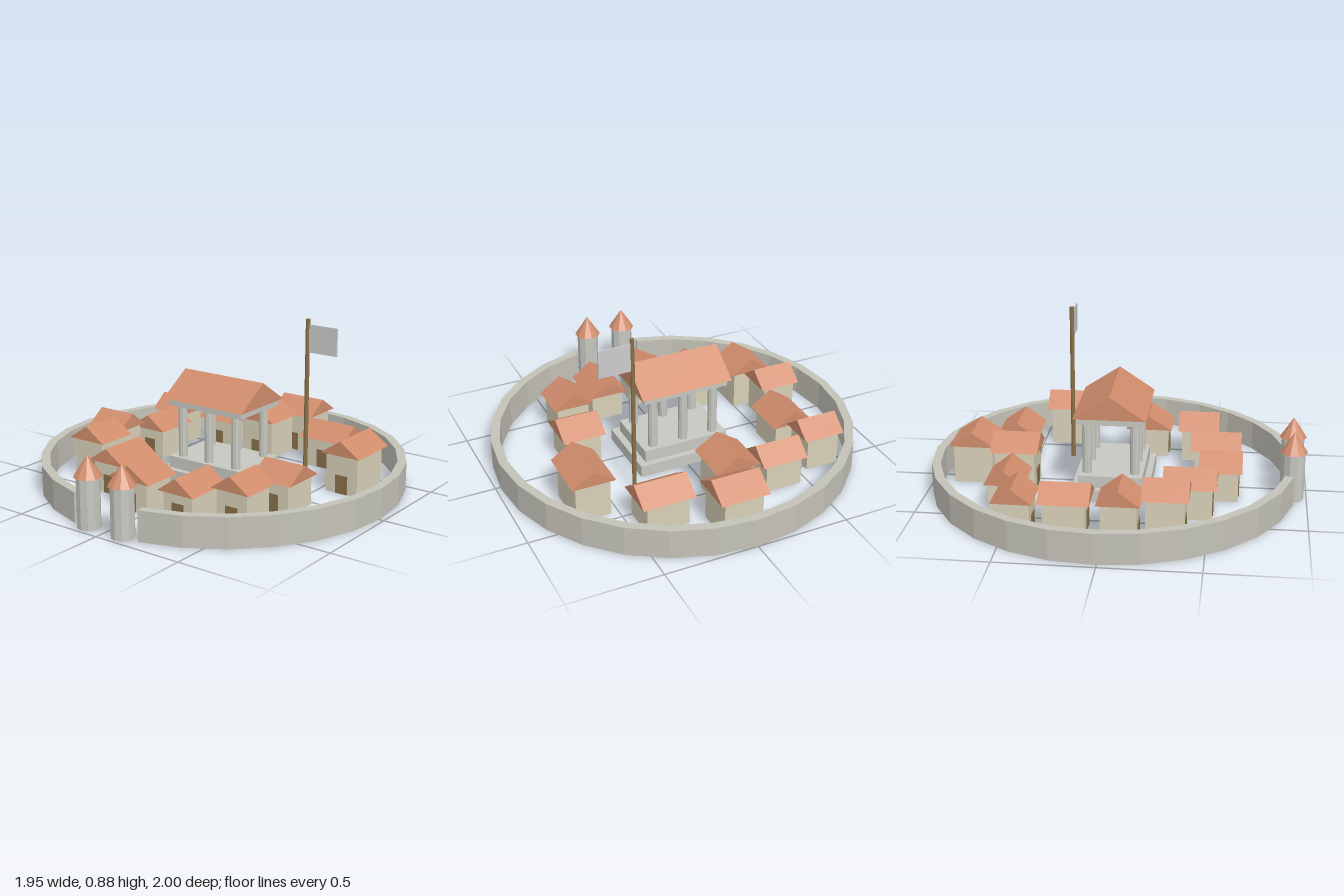
import * as THREE from 'three';

const mat = (color) => new THREE.MeshStandardMaterial({ color, flatShading: true });
const stone = mat(0xc4c2b8);
const marble = mat(0xc8c8c2);
const plaster = mat(0xd8d0b8);
const tile = mat(0xd08c6c);
const wood = mat(0x8a7048);
const cloth = mat(0xcccccc);

function add(parent, name, geometry, material, x, y, z) {
  const mesh = new THREE.Mesh(geometry, material);
  mesh.name = name;
  mesh.position.set(x, y, z);
  parent.add(mesh);
  return mesh;
}

// Box and cylinder placed by the centre of their base
function box(parent, name, material, w, h, d, x, y, z) {
  return add(parent, name, new THREE.BoxGeometry(w, h, d), material, x, y + h / 2, z);
}
function post(parent, name, material, r, h, sides, x, y, z) {
  return add(parent, name, new THREE.CylinderGeometry(r, r, h, sides), material, x, y + h / 2, z);
}

// Triangular prism roof; the ridge runs along x or z
function gableRoof(parent, name, w, h, d, ridge, x, y, z) {
  const [span, length] = ridge === 'x' ? [d, w] : [w, d];
  const shape = new THREE.Shape();
  shape.moveTo(-span / 2, 0);
  shape.lineTo(span / 2, 0);
  shape.lineTo(0, h);
  shape.closePath();
  const geometry = new THREE.ExtrudeGeometry(shape, { depth: length, bevelEnabled: false });
  geometry.translate(0, 0, -length / 2);
  if (ridge === 'x') geometry.rotateY(Math.PI / 2);
  return add(parent, name, geometry, tile, x, y, z);
}

// Ring wall, open at the front gate
function ringWall(parent) {
  const outer = 0.975, inner = 0.928, segments = 26, half = THREE.MathUtils.degToRad(168);
  const points = [];
  for (const [radius, dir] of [[outer, 1], [inner, -1]]) {
    for (let i = 0; i <= segments; i++) {
      const a = dir * half * (2 * i / segments - 1);
      points.push(new THREE.Vector2(radius * Math.sin(a), radius * Math.cos(a)));
    }
  }
  const geometry = new THREE.ExtrudeGeometry(new THREE.Shape(points), { depth: 0.16, bevelEnabled: false });
  geometry.rotateX(-Math.PI / 2);
  add(parent, 'cityWall', geometry, stone, 0, 0, -0.024);
}

function gateTower(parent, x) {
  const tower = new THREE.Group();
  tower.name = 'gateTower';
  post(tower, 'towerShaft', marble, 0.06, 0.265, 10, 0, 0, 0);
  add(tower, 'towerRoof', new THREE.ConeGeometry(0.072, 0.11, 10), tile, 0, 0.317, 0);
  tower.position.set(x, 0, 0.925);
  parent.add(tower);
}

function temple(parent) {
  const group = new THREE.Group();
  group.name = 'temple';
  box(group, 'lowerStep', marble, 0.55, 0.065, 0.405, 0, 0, 0);
  box(group, 'upperStep', marble, 0.475, 0.065, 0.34, 0, 0.065, 0);
  for (const x of [-0.174, 0, 0.174]) {
    for (const z of [-0.126, 0.126]) post(group, 'column', marble, 0.025, 0.29, 10, x, 0.13, z);
  }
  box(group, 'entablature', marble, 0.475, 0.036, 0.34, 0, 0.415, 0);
  gableRoof(group, 'templeRoof', 0.51, 0.126, 0.38, 'x', 0, 0.45, 0);
  group.position.set(-0.002, 0, -0.024);
  parent.add(group);
}

// Walls, roof and a door facing the front
function house(parent, [x0, x1, z0, z1, ridge, eave]) {
  const w = x1 - x0, d = z1 - z0;
  const group = new THREE.Group();
  group.name = 'house';
  const bodyDepth = d * 0.83;
  box(group, 'houseWalls', plaster, w * 0.8, eave, bodyDepth, 0, 0, 0);
  gableRoof(group, 'houseRoof', w, 0.08, d, ridge, 0, eave, 0);
  box(group, 'door', wood, 0.07, 0.1, 0.01, 0, 0, bodyDepth / 2);
  group.position.set((x0 + x1) / 2, 0, (z0 + z1) / 2);
  parent.add(group);
}

// Roof outline x0, x1, z0, z1, ridge axis, eave height
const HOUSES = [
  [-0.115, 0.15, -0.905, -0.655, 'x', 0.213],
  [0.19, 0.475, -0.71, -0.475, 'x', 0.16],
  [-0.482, -0.228, -0.64, -0.433, 'x', 0.16],
  [-0.753, -0.525, -0.55, -0.343, 'x', 0.185],
  [-0.78, -0.553, 0.03 - 0.002, 0.187, 'x', 0.21],
  [0.375, 0.612, 0, 0.256, 'x', 0.163],
  [-0.192, 0.056, -0.667, -0.412, 'z', 0.218],
  [0.517, 0.75, -0.476, -0.174, 'z', 0.213],
  [-0.69, -0.458, -0.333, -0.074, 'z', 0.16],
  [-0.71, -0.474, 0.182, 0.414, 'z', 0.213],
  [-0.458, -0.225, 0.265, 0.54, 'z', 0.17],
  [-0.22, 0.045, 0.435, 0.662, 'z', 0.165],
  [0.093, 0.315, 0.376, 0.651, 'z', 0.155],
  [0.326, 0.553, 0.297, 0.524, 'z', 0.181],
];
HOUSES[4][2] = -0.03;

export function createModel() {
  const city = new THREE.Group();
  city.name = 'walledCity';
  ringWall(city);
  for (const x of [-0.11, 0.107]) gateTower(city, x);
  temple(city);
  for (const spec of HOUSES) house(city, spec);

  // Flagpole and flag
  post(city, 'flagpole', wood, 0.012, 0.878, 8, 0.345, 0, -0.3);
  box(city, 'flag', cloth, 0.175, 0.15, 0.008, 0.438, 0.7, -0.3);
  return city;
}
